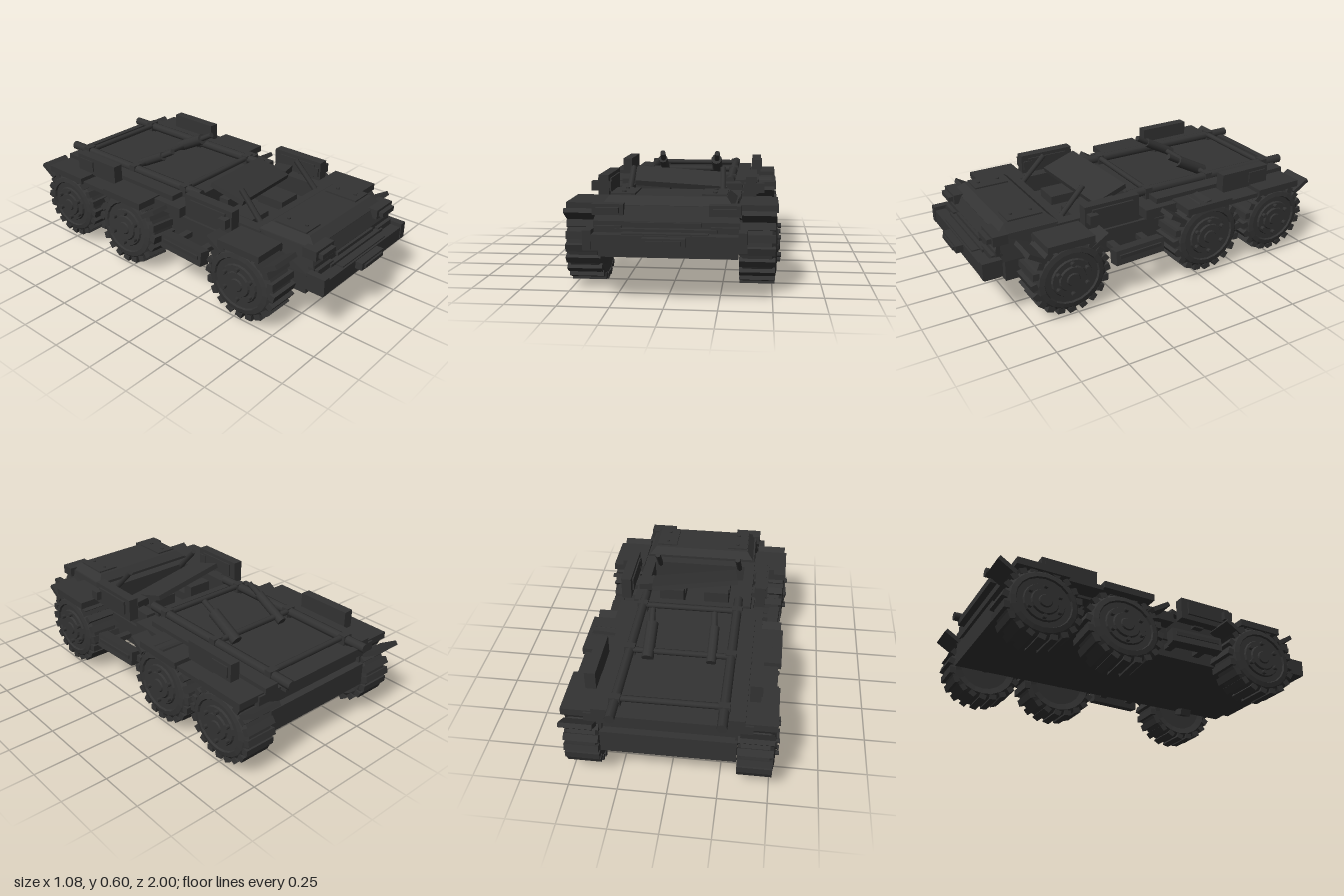
import * as THREE from 'three';

export function createModel() {
  const model = new THREE.Group();
  const paint = new THREE.MeshStandardMaterial({ color: 0x333333 });
  paint.name = 'charcoal';

  const add = (name, geo, parent = model) => {
    const mesh = new THREE.Mesh(geo, paint);
    mesh.name = name;
    parent.add(mesh);
    return mesh;
  };
  const flat = (geo) => {
    const g = geo.index ? geo.toNonIndexed() : geo;
    g.computeVertexNormals();
    return g;
  };
  // Box given by its x, y and z ranges
  const box = (name, x0, x1, y0, y1, z0, z1, parent) => {
    const m = add(name, new THREE.BoxGeometry(x1 - x0, y1 - y0, z1 - z0), parent);
    m.position.set((x0 + x1) / 2, (y0 + y1) / 2, (z0 + z1) / 2);
    return m;
  };
  // The same box on both sides
  const pair = (name, x0, x1, ...yz) => [box(name, x0, x1, ...yz), box(name, -x1, -x0, ...yz)];
  // Round bar between two points
  const bar = (name, a, b, r, sides = 10) => {
    const p = new THREE.Vector3(...a), q = new THREE.Vector3(...b);
    const m = add(name, new THREE.CylinderGeometry(r, r, p.distanceTo(q), sides));
    m.position.copy(p).lerp(q, 0.5);
    m.quaternion.setFromUnitVectors(new THREE.Vector3(0, 1, 0), q.sub(p).normalize());
    return m;
  };
  // Body from sections along z: [z, low y, high y, low half width, high half width]
  const loft = (name, sections) => {
    const pos = [], idx = [];
    for (const [z, y0, y1, w0, w1] of sections) pos.push(-w0, y0, z, w0, y0, z, w1, y1, z, -w1, y1, z);
    const n = sections.length - 1;
    for (let i = 0; i < n; i++) {
      for (let j = 0; j < 4; j++) {
        const a = i * 4 + j, b = i * 4 + (j + 1) % 4;
        idx.push(a, b, b + 4, a, b + 4, a + 4);
      }
    }
    idx.push(0, 2, 1, 0, 3, 2, n * 4, n * 4 + 1, n * 4 + 2, n * 4, n * 4 + 2, n * 4 + 3);
    const g = new THREE.BufferGeometry();
    g.setAttribute('position', new THREE.Float32BufferAttribute(pos, 3));
    g.setIndex(idx);
    return add(name, flat(g));
  };

  // Lower hull
  box('chassis', -0.335, 0.335, 0.195, 0.32, -0.93, 0.82);
  box('bedBase', -0.33, 0.33, 0.31, 0.375, -0.89, 0.04);

  // Hood: straight sides below, bevelled top, sloped nose
  loft('hoodBase', [
    [0.52, 0.31, 0.45, 0.34, 0.33],
    [0.84, 0.31, 0.45, 0.345, 0.325],
    [0.87, 0.31, 0.38, 0.345, 0.345],
  ]);
  loft('hoodTop', [
    [0.52, 0.44, 0.455, 0.33, 0.32],
    [0.56, 0.44, 0.49, 0.33, 0.285],
    [0.79, 0.44, 0.49, 0.325, 0.28],
    [0.84, 0.44, 0.452, 0.325, 0.31],
  ]);
  pair('hoodPlate', 0.16, 0.28, 0.485, 0.498, 0.58, 0.77);
  for (const s of [-1, 1]) for (const z of [0.62, 0.73]) bar('hoodBolt', [s * 0.22, 0.49, z], [s * 0.22, 0.505, z], 0.01, 8);
  box('grilleUpper', -0.165, 0.165, 0.36, 0.378, 0.85, 0.885);
  box('grilleLower', -0.24, 0.24, 0.335, 0.35, 0.84, 0.9);
  pair('lowerLamp', 0.21, 0.34, 0.33, 0.36, 0.83, 0.89);
  for (const s of [-1, 1]) {
    const x = s * 0.275;
    box('headlightHousing', x - 0.075, x + 0.075, 0.41, 0.462, 0.8, 0.88);
    box('headlight', x - 0.055, x + 0.055, 0.422, 0.448, 0.87, 0.905);
  }

  // Bumper
  box('bumper', -0.38, 0.38, 0.255, 0.33, 0.86, 0.95);
  pair('bumperEnd', 0.34, 0.38, 0.26, 0.35, 0.85, 0.955);
  box('bumperTopStep', -0.2, 0.2, 0.32, 0.337, 0.88, 0.94);
  box('frontPlate', -0.1, 0.1, 0.285, 0.325, 0.94, 0.99);
  box('frontPlateInset', -0.08, 0.08, 0.295, 0.315, 0.98, 1);

  // Open cabin: walls, floor, seats and dashboard
  pair('cabinWall', 0.275, 0.335, 0.3, 0.44, 0.04, 0.53);
  box('cabinFloor', -0.28, 0.28, 0.31, 0.34, 0.04, 0.53);
  box('dashboard', -0.28, 0.28, 0.33, 0.44, 0.46, 0.53);
  pair('seat', 0.06, 0.2, 0.33, 0.39, 0.2, 0.37);
  pair('seatBack', 0.06, 0.2, 0.35, 0.45, 0.14, 0.2);
  for (const s of [-1, 1]) bar('windshieldPost', [s * 0.245, 0.42, 0.47], [s * 0.238, 0.57, 0.325], 0.016, 6);

  // Loose roof plate lying askew over the cabin
  const roof = box('roofPlate', -0.245, 0.245, 0.48, 0.508, 0.09, 0.3);
  roof.rotation.set(0.27, 0.11, -0.11);
  const bracket = box('roofBracket', 0.24, 0.33, 0.43, 0.475, 0.15, 0.24);
  bracket.rotation.y = 0.2;

  // Cargo bed
  box('bedDeck', -0.41, 0.41, 0.37, 0.425, -0.92, 0.04);
  box('bedFloor', -0.25, 0.25, 0.42, 0.435, -0.94, 0.0);
  pair('bedSide', 0.29, 0.37, 0.42, 0.455, -0.92, -0.05);
  for (const s of [-1, 1]) {
    bar('bedRail', [s * 0.265, 0.46, -0.985], [s * 0.265, 0.465, 0.07], 0.025, 8);
    for (const z of [-0.85, -0.45, -0.05]) box('railClamp', s * 0.265 - 0.028, s * 0.265 + 0.028, 0.42, 0.488, z - 0.02, z + 0.02);
  }
  for (const z of [-0.84, -0.46, -0.05]) bar('crossBar', [-0.265, 0.468, z], [0.265, 0.468, z], 0.016, 8);
  box('tailBoard', -0.27, 0.27, 0.41, 0.45, -0.955, -0.92);
  box('bedFrontBoard', -0.28, 0.28, 0.32, 0.45, 0.01, 0.05);

  // Twin tubes leaning forward from the middle bar
  for (const s of [-1, 1]) {
    const x = s * 0.165;
    bar('tubeBase', [x, 0.45, -0.5], [x, 0.545, -0.32], s > 0 ? 0.032 : 0.026);
    bar('tubeTip', [x, 0.53, -0.35], [x + 0.008, 0.588, -0.25], 0.016);
  }

  // Side stowage boxes
  pair('cabinBox', 0.36, 0.415, 0.41, 0.535, 0.09, 0.41);
  pair('cabinBoxBand', 0.352, 0.425, 0.44, 0.515, 0.13, 0.37);
  pair('cabinBoxMount', 0.33, 0.37, 0.4, 0.43, 0.2, 0.26);
  pair('cabinBoxLatch', 0.35, 0.455, 0.45, 0.5, 0.35, 0.4);
  pair('bedBox', 0.38, 0.435, 0.425, 0.53, -0.75, -0.44);
  pair('bedBoxLatch', 0.43, 0.442, 0.45, 0.51, -0.73, -0.62);

  // Side steps hung from the hull
  for (const s of [-1, 1]) {
    const step = box('sideStep', s * 0.47 - 0.03, s * 0.47 + 0.03, 0.205, 0.285, -0.02, 0.28);
    step.rotation.set(0, s * 0.05, s * 0.12);
    const strip = box('stepTread', s * 0.485 - 0.022, s * 0.485 + 0.022, 0.245, 0.265, 0.0, 0.26);
    strip.rotation.y = s * 0.05;
    for (const z of [0.04, 0.22]) box('stepBracket', s * 0.39 - 0.07, s * 0.39 + 0.07, 0.23, 0.26, z - 0.02, z + 0.02);
    box('hullRail', s * 0.335 - 0.015, s * 0.335 + 0.015, 0.29, 0.34, -0.05, 0.38);
    const link = box('suspensionLink', s * 0.29 - 0.035, s * 0.29 + 0.035, 0.155, 0.195, 0.5, 0.57);
    link.rotation.z = s * 0.3;
  }

  // Fenders: flat top with flaps that rise outward; [back z, front z, flap at back, flap at front]
  const fenders = [[0.41, 0.67, 1, 1], [-0.44, -0.15, 0, 1], [-0.91, -0.63, 1, 0]];
  for (const s of [-1, 1]) {
    for (const [z0, z1, back, front] of fenders) {
      const group = new THREE.Group();
      group.name = 'fender';
      model.add(group);
      const x0 = s > 0 ? 0.34 : -0.525, x1 = s > 0 ? 0.525 : -0.34;
      box('fenderTop', x0, x1, 0.395, 0.432, z0, z1, group);
      box('fenderInner', s * 0.34 - 0.015, s * 0.34 + 0.015, 0.3, 0.42, z0, z1, group);
      const flap = (z, dir) => {
        const m = box('fenderFlap', x0 + 0.01, x1 - 0.01, 0.368, 0.392, z - 0.055, z + 0.055, group);
        m.rotation.x = -dir * 0.55;
      };
      if (back) flap(z0 - 0.04, -1);
      if (front) flap(z1 + 0.05, 1);
    }
    box('fenderBridge', s * 0.43 - 0.08, s * 0.43 + 0.08, 0.385, 0.41, -0.63, -0.44);
  }

  // Wheels: stepped rim, heavy lugs and bolts, with +x outward
  const wheel = (s, x, y, z, radius, tilt) => {
    const group = new THREE.Group();
    group.name = 'wheel';
    const k = radius / 0.2;
    const profile = [[0, -0.075], [0.13, -0.075], [0.165, -0.085], [0.187, -0.07], [0.187, 0.07], [0.165, 0.09],
      [0.14, 0.095], [0.135, 0.085], [0.105, 0.085], [0.1, 0.095], [0.07, 0.095], [0.065, 0.105], [0.035, 0.105], [0.03, 0.112], [0, 0.112]]
      .map(([r, h]) => new THREE.Vector2(r * k, h));
    const tyre = flat(new THREE.LatheGeometry(profile, 20));
    tyre.rotateZ(-Math.PI / 2);
    add('tyreAndRim', tyre, group);
    for (let i = 0; i < 20; i++) {
      const a = i / 20 * Math.PI * 2;
      const lug = add('treadLug', new THREE.BoxGeometry(0.174, 0.03 * k, 0.036 * k), group);
      lug.position.set(0, Math.cos(a) * 0.184 * k, Math.sin(a) * 0.184 * k);
      lug.rotation.x = a + 0.25 * s;
    }
    for (let i = 0; i < 6; i++) {
      const a = i / 6 * Math.PI * 2;
      const bolt = add('wheelBolt', new THREE.CylinderGeometry(0.012, 0.012, 0.03, 6), group);
      bolt.rotation.z = Math.PI / 2;
      bolt.position.set(0.1, Math.cos(a) * 0.085 * k, Math.sin(a) * 0.085 * k);
    }
    group.position.set(x, y, z);
    group.rotation.set(0, s > 0 ? 0 : Math.PI, tilt);
    group.scale.z = 1.08;
    model.add(group);
  };
  for (const s of [-1, 1]) {
    wheel(s, s * 0.425, 0.222, 0.54, 0.204, 0);
    wheel(s, s > 0 ? 0.42 : -0.405, s > 0 ? 0.23 : 0.216, -0.3, 0.207, s > 0 ? 0.03 : 0.09);
    wheel(s, s * 0.425, 0.226, -0.755, 0.195, 0);
  }
  for (const z of [0.54, -0.3, -0.755]) bar('axle', [-0.38, 0.222, z], [0.38, 0.222, z], 0.025);

  return model;
}
